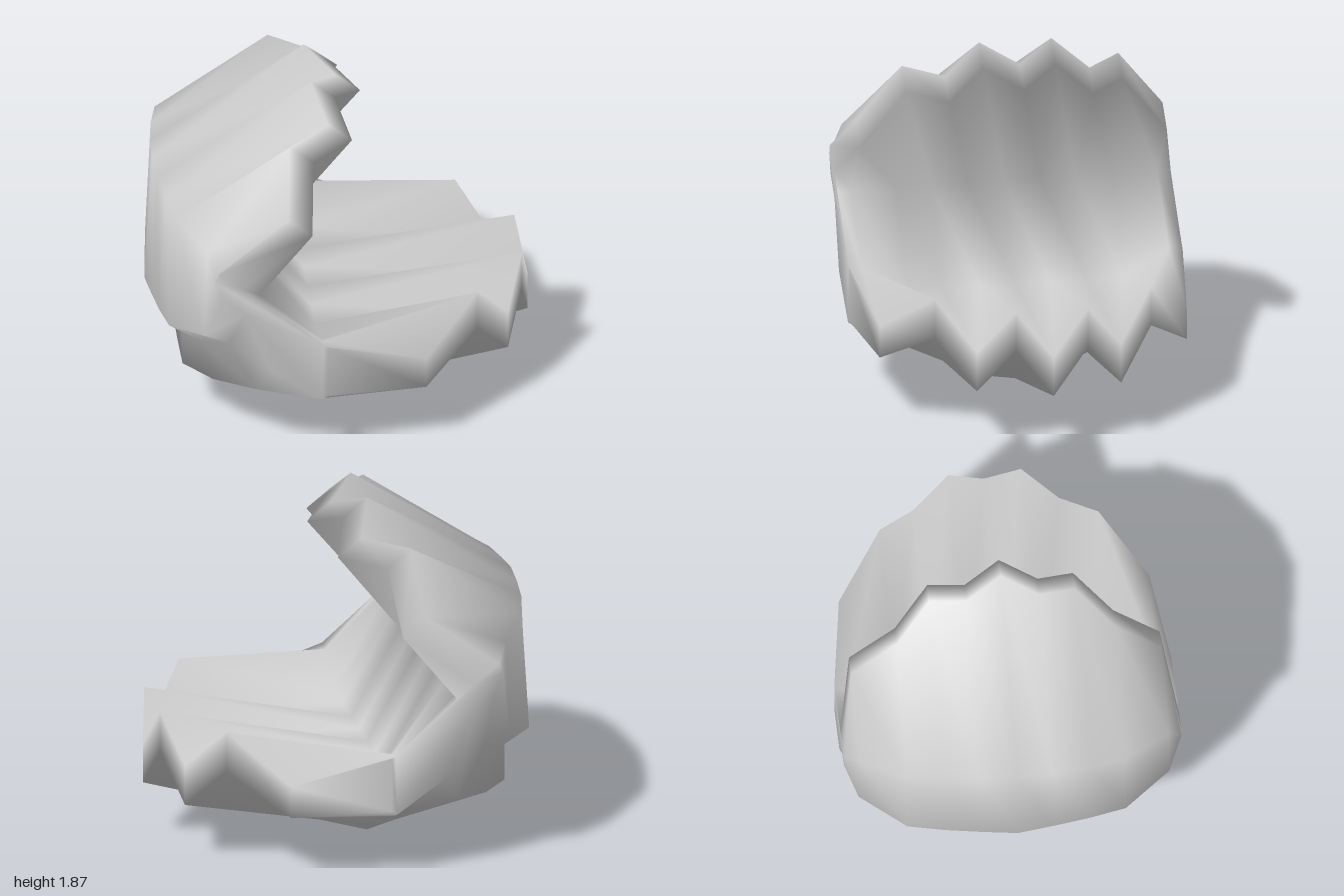
import * as THREE from 'three';

// Widths (z) of the cross-sections, from the middle out to one side
const Z = [0, 0.19, 0.38, 0.57, 0.81, 0.88];

// Rails: each is the [x, y] of one profile corner at every width above
const keel = [[-0.15, 0], [-0.15, 0.03], [-0.15, 0.12], [-0.15, 0.21], [-0.15, 0.325], [-0.16, 0.36]];
const lowerTeeth = [[1, 0.53], [0.95, 0.77], [0.86, 0.53], [0.68, 0.77], [0.39, 0.53], [-0.13, 0.67]];
const floor = [[-0.15, 0.52], [-0.15, 0.52], [-0.15, 0.52], [-0.15, 0.53], [-0.15, 0.67], [-0.15, 0.68]];
const upperTeeth = [[0, 1.79], [-0.15, 1.87], [-0.08, 1.72], [-0.3, 1.71], [-0.33, 1.41], [-0.7, 1.15]];
const crown = [[-0.96, 1.35], [-0.95, 1.34], [-0.93, 1.33], [-0.89, 1.31], [-0.75, 1.24], [-0.72, 1.1]];
const upperHem = [[-1, 0.62], [-0.98, 0.63], [-0.96, 0.65], [-0.93, 0.67], [-0.77, 0.74], [-0.68, 1.0]];
const hemStep = [[-0.86, 0.515], [-0.85, 0.525], [-0.84, 0.54], [-0.77, 0.57], [-0.64, 0.69], [-0.56, 0.9]];
const heel = [[-0.84, 0.31], [-0.84, 0.31], [-0.84, 0.32], [-0.7, 0.33], [-0.5, 0.4], [-0.43, 0.55]];
const shift = (rail, dx, dy) => rail.map(([x, y]) => [x + dx, y + dy]);
const lowerLip = shift(lowerTeeth, 0, -0.215);
lowerLip[4][1] = 0.36;
lowerLip[5][1] = 0.38;
const hinge = Z.map(() => [-0.48, 0.97]);
const upperLip = shift(upperTeeth, 0.125, -0.1);

// Anticlockwise around the section as seen from +z
const rails = [keel, lowerLip, lowerTeeth, floor, hinge, upperLip,
  upperTeeth, crown, upperHem, hemStep, heel];

function shellGeometry() {
  const n = rails.length, last = Z.length - 1, count = 2 * last + 1;
  const positions = [], index = [];
  for (let j = -last; j <= last; j++) {
    const k = Math.abs(j);
    rails.forEach((rail) => positions.push(...rail[k], Math.sign(j) * Z[k]));
  }
  // Skin between neighbouring sections
  for (let j = 0; j < count - 1; j++) {
    for (let i = 0; i < n; i++) {
      const i2 = (i + 1) % n;
      const a = j * n + i, b = j * n + i2, c = b + n, d = a + n;
      // The mouth floor folds the other way, except at its left side
      if (rails[i] === lowerTeeth && j < last + 3) index.push(a, b, d, b, c, d);
      else index.push(a, b, c, a, c, d);
    }
  }
  // Flat side walls
  const top = (count - 1) * n;
  const outline = rails.map((rail) => new THREE.Vector2(...rail[last]));
  for (const [a, b, c] of THREE.ShapeUtils.triangulateShape(outline, [])) {
    index.push(top + a, top + b, top + c);
    index.push(a, c, b);
  }
  const geometry = new THREE.BufferGeometry();
  geometry.setAttribute('position', new THREE.Float32BufferAttribute(positions, 3));
  geometry.setIndex(index);
  geometry.computeVertexNormals();
  return geometry;
}

export function createModel() {
  const group = new THREE.Group();
  group.name = 'openJaggedShell';
  const material = new THREE.MeshStandardMaterial({ color: 0xcccccc, side: THREE.DoubleSide });
  const shell = new THREE.Mesh(shellGeometry(), material);
  shell.name = 'hingedShell';
  group.add(shell);
  return group;
}
